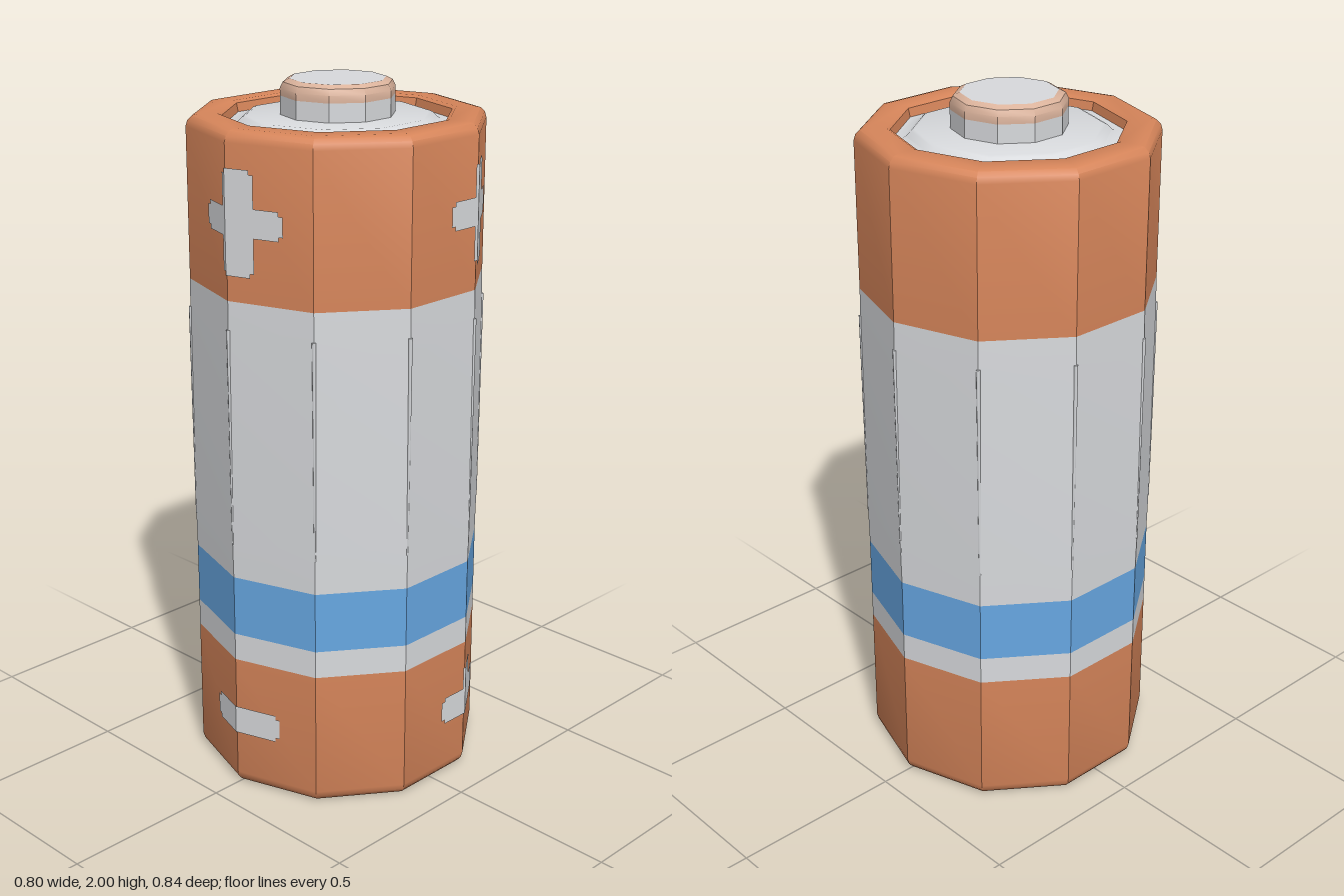
import * as THREE from 'three';
import { toCreasedNormals, mergeGeometries } from 'three/addons/utils/BufferGeometryUtils.js';

const SIDES = 10;
const R = 0.413;

const paint = (name, color) => {
  const m = new THREE.MeshStandardMaterial({ color });
  m.name = name;
  return m;
};

export function createModel() {
  const orange = paint('orange', 0xd6855a);
  const silver = paint('silver', 0xd8dadd);
  const blue = paint('blue', 0x67a7e2);
  const peach = paint('peach', 0xdbb39c);
  const model = new THREE.Group();
  model.name = 'battery';

  const add = (name, geometry, material, parent = model) => {
    const mesh = new THREE.Mesh(geometry, material);
    mesh.name = name;
    parent.add(mesh);
    return mesh;
  };

  // Ten-sided turned part from [radius, height] pairs, bottom to top
  const turned = (name, profile, material) => {
    const points = profile.map(([r, y]) => new THREE.Vector2(r, y));
    return add(name, toCreasedNormals(new THREE.LatheGeometry(points, SIDES), 0.6), material);
  };

  // Casing bands
  turned('lowerCasing', [[0, 0.005], [0.385, 0.005], [0.398, 0.01], [0.408, 0.022], [R, 0.04], [R, 0.405]], orange);
  turned('lowerSleeve', [[R, 0.405], [R, 0.485]], silver);
  turned('stripe', [[R, 0.485], [R, 0.66]], blue);
  turned('sleeve', [[R, 0.66], [0.415, 0.78], [0.415, 1.34], [R, 1.46]], silver);
  turned('upperCasing', [
    [R, 1.46], [R, 1.88], [0.408, 1.896], [0.396, 1.908], [0.38, 1.912],
    [0.328, 1.912], [0.316, 1.906], [0.31, 1.88],
  ], orange);

  // Recessed end plate with a raised centre
  turned('endPlate', [[0.311, 1.882], [0.283, 1.882], [0.276, 1.886], [0.262, 1.9], [0.252, 1.904], [0, 1.904]], silver);

  // Terminal
  turned('terminalBase', [[0.158, 1.9], [0.158, 1.955]], silver);
  turned('terminalEdge', [[0.158, 1.955], [0.158, 1.975], [0.15, 1.991], [0.132, 2]], peach);
  turned('terminalTop', [[0.132, 2], [0, 2]], silver);

  // Slim pinched ridges along the sleeve corners
  for (let i = 0; i < SIDES; i++) {
    const a = (i / SIDES) * Math.PI * 2;
    const ridge = add('sleeveRidge', new THREE.CylinderGeometry(0.006, 0.003, 0.62, 6), silver);
    ridge.position.set(Math.sin(a) * 0.413, 1.07, Math.cos(a) * 0.413);
  }

  // Flat bar folded over the casing corner at u = 0
  const slope = Math.tan(Math.PI / SIDES);
  const foldedBar = (u0, u1, y0, y1) => {
    const cuts = u0 < 0 && u1 > 0 ? [u0, 0, u1] : [u0, u1];
    const parts = [];
    for (let i = 0; i < cuts.length - 1; i++) {
      const g = new THREE.PlaneGeometry(cuts[i + 1] - cuts[i], y1 - y0);
      g.translate((cuts[i] + cuts[i + 1]) / 2, (y0 + y1) / 2, 0);
      const p = g.attributes.position;
      for (let k = 0; k < p.count; k++) p.setZ(k, R + 0.004 - Math.abs(p.getX(k)) * slope);
      g.computeVertexNormals();
      parts.push(g);
    }
    return mergeGeometries(parts);
  };
  const softBar = (u0, u1, y0, y1, c = 0.012) => mergeGeometries([
    foldedBar(u0 + c, u1 - c, y0, y1),
    foldedBar(u0, u1, y0 + c, y1 - c),
  ]);

  // Polarity marks on the front and on the right side
  [0, 108].forEach((degrees, i) => {
    const marks = new THREE.Group();
    marks.name = i ? 'sideMarks' : 'frontMarks';
    marks.rotation.y = THREE.MathUtils.degToRad(degrees);
    model.add(marks);
    add('plusMark', mergeGeometries([
      softBar(-0.1, 0.162, 1.637, 1.715),
      softBar(-0.012, 0.08, 1.53, 1.815),
    ]), silver, marks);
    add('minusMark', softBar(-0.11 + i * 0.012, i ? 0.175 : 0.135, 0.172, 0.255), silver, marks);
    if (i) add('minusStub', softBar(-0.01, 0.08, 0.2, 0.335), silver, marks);
  });

  return model;
}
